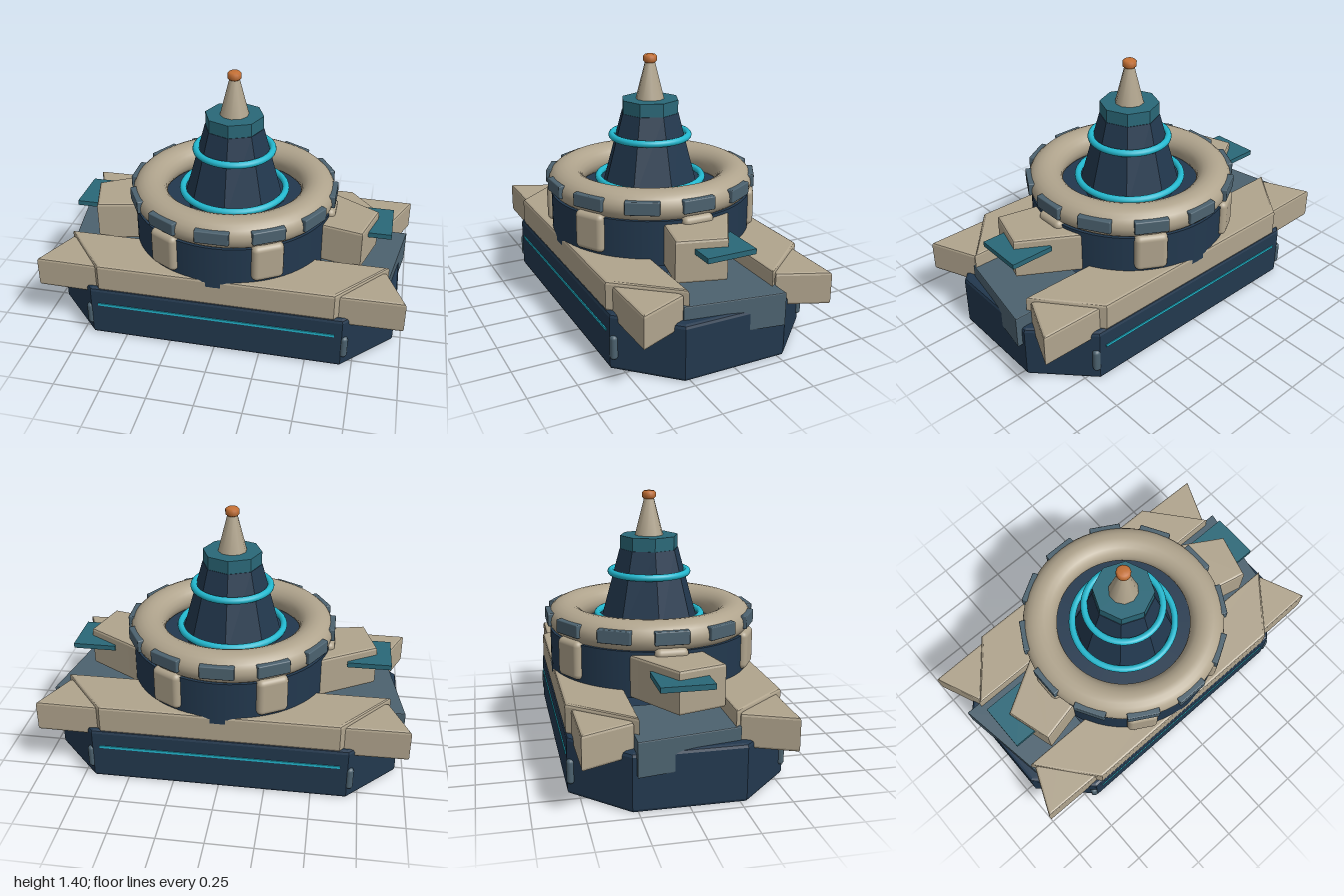
import * as THREE from 'three';
import { RoundedBoxGeometry } from 'three/addons/geometries/RoundedBoxGeometry.js';

const mat = (name, color, extra = {}) => {
  const m = new THREE.MeshStandardMaterial({ color, ...extra });
  m.name = name;
  return m;
};

export function createModel() {
  const model = new THREE.Group();
  model.name = 'turretVehicle';

  const navy = mat('navy', 0x22384e);
  const navyFlat = mat('navyFaceted', 0x22384e, { flatShading: true });
  const sand = mat('sand', 0xb0a48d);
  const slate = mat('slate', 0x4c626f);
  const teal = mat('teal', 0x2a6878, { flatShading: true });
  const cyan = mat('cyan', 0x22b8cf);
  const orange = mat('orange', 0xc47035);

  const add = (name, geometry, material, x = 0, y = 0, z = 0) => {
    const mesh = new THREE.Mesh(geometry, material);
    mesh.name = name;
    mesh.position.set(x, y, z);
    model.add(mesh);
    return mesh;
  };

  // Vertical prism over an [x, z] outline with bevelled edges, kept inside the outline
  const prism = (points, y0, y1, bevel) => {
    const shape = new THREE.Shape(points.map(([x, z]) => new THREE.Vector2(x, -z)));
    const geometry = new THREE.ExtrudeGeometry(shape, {
      depth: y1 - y0 - 2 * bevel,
      bevelEnabled: true,
      bevelThickness: bevel,
      bevelSize: bevel,
      bevelOffset: -bevel,
      bevelSegments: 2,
    });
    geometry.rotateX(-Math.PI / 2);
    geometry.translate(0, y0 + bevel, 0);
    return geometry;
  };

  // Hull: an oblong with cut corners
  add('hull', prism([
    [0.955, 0.28], [0.69, 0.555], [-0.69, 0.555], [-0.955, 0.28],
    [-0.955, -0.28], [-0.69, -0.555], [0.69, -0.555], [0.955, -0.28],
  ], 0, 0.3, 0.018), navy);

  // Deck rails and hull stripes, front and back
  for (const s of [1, -1]) {
    add('deckRail', prism([
      [-0.9, 0.235 * s], [0.9, 0.235 * s], [0.64, 0.553 * s], [-0.64, 0.553 * s],
    ], 0.295, 0.45, 0.014), sand);
    add('hullStripe', new THREE.BoxGeometry(1.3, 0.014, 0.008), cyan, 0, 0.2, 0.556 * s);
  }

  // Corner pods and corner lamps
  for (const sx of [1, -1]) {
    for (const sz of [1, -1]) {
      add('cornerPod', prism([
        [0.64, 0.525], [1, 0.52], [0.89, 0.26], [0.72, 0.27],
      ].map(([x, z]) => [x * sx, z * sz]), 0.255, 0.43, 0.014), sand);
      const lamp = add('cornerLamp', new RoundedBoxGeometry(0.04, 0.13, 0.05, 3, 0.018),
        slate, 0.7 * sx, 0.125, 0.535 * sz);
      lamp.rotation.y = 0.4 * sx * sz;
    }
  }

  // Side equipment: skewed deck plate, housing and fin
  for (const s of [1, -1]) {
    const side = (points) => points.map(([x, z]) => [x * s, z]);
    add('deckPlate', prism(side([
      [0.985, -0.26], [0.9, 0.262], [0.52, 0.262], [0.52, -0.26],
    ]), 0.19, 0.37, 0.006), slate);
    add('sideHousing', prism(side([
      [0.815, -0.025], [0.742, 0.228], [0.42, 0.155], [0.42, -0.265], [0.565, -0.175],
    ]), 0.41, 0.637, 0.014), sand);
    add('sideFin', new THREE.BoxGeometry(0.24, 0.028, 0.27), teal, 0.775 * s, 0.577, 0);
  }

  // Turret drum and its thick collar ring
  add('drum', new THREE.CylinderGeometry(0.555, 0.555, 0.245, 64), navy, 0, 0.5325, 0);
  const collar = new THREE.TorusGeometry(0.472, 0.096, 20, 64);
  collar.rotateX(Math.PI / 2);
  collar.scale(1, 0.88, 1);
  add('collarRing', collar, sand, 0, 0.715, 0);

  // Twelve windows set into the collar
  for (let i = 0; i < 12; i++) {
    const a = (i * Math.PI) / 6;
    const pane = add('collarWindow', new RoundedBoxGeometry(0.18, 0.072, 0.07, 2, 0.006),
      slate, Math.sin(a) * 0.542, 0.728, Math.cos(a) * 0.542);
    pane.rotation.y = a;
  }

  // Six clamps around the drum
  for (let i = 0; i < 6; i++) {
    const a = ((i + 0.5) * Math.PI) / 3;
    const clamp = add('drumClamp', new RoundedBoxGeometry(0.175, 0.21, 0.13, 3, 0.03),
      sand, Math.sin(a) * 0.515, 0.567, Math.cos(a) * 0.515);
    clamp.rotation.y = a;
  }

  // Eight-sided tower with its cap
  add('tower', new THREE.CylinderGeometry(0.165, 0.288, 0.45, 8), navyFlat, 0, 0.865, 0);
  add('towerCap', new THREE.CylinderGeometry(0.162, 0.162, 0.075, 8), teal, 0, 1.125, 0);

  // Glowing rings around the tower
  for (const [radius, y] of [[0.29, 0.72], [0.212, 0.96]]) {
    const ring = add('towerRing', new THREE.TorusGeometry(radius, 0.019, 12, 48), cyan, 0, y, 0);
    ring.rotation.x = Math.PI / 2;
  }

  // Spire and rounded tip
  add('spire', new THREE.CylinderGeometry(0.026, 0.08, 0.21, 10), sand, 0, 1.265, 0);
  const tip = [[0, -0.022], [0.028, -0.022], [0.038, -0.012], [0.038, 0.012], [0.028, 0.022], [0, 0.022]]
    .map(([r, y]) => new THREE.Vector2(r, y));
  add('spireTip', new THREE.LatheGeometry(tip, 20), orange, 0, 1.382, 0);

  return model;
}
